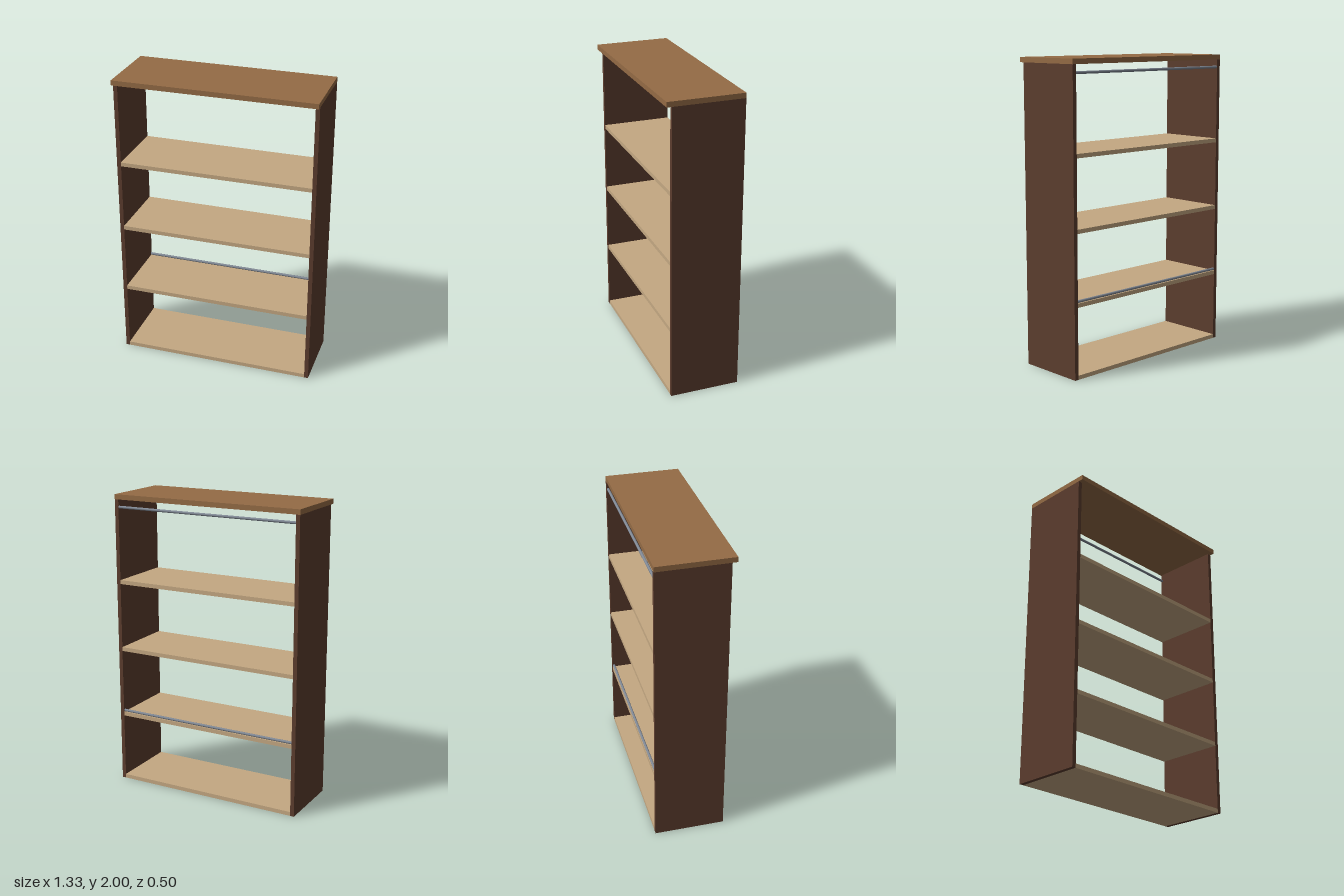
import * as THREE from 'three';

const material = (color) => new THREE.MeshStandardMaterial({ color });

export function createModel() {
  const group = new THREE.Group();
  const darkWood = material(0x5c3d2e);
  const topWood = material(0x946b45);
  const shelfWood = material(0xc4a882);
  const metal = material(0x808894);

  const W = 1.333, T = 0.027, BACK = -0.25, FRONT = 0.217, TOP = 1.967;
  const depth = FRONT - BACK, midZ = (FRONT + BACK) / 2, innerW = W - 2 * T;

  function add(name, geometry, mat, x, y, z) {
    const mesh = new THREE.Mesh(geometry, mat);
    mesh.name = name;
    mesh.position.set(x, y, z);
    group.add(mesh);
    return mesh;
  }

  // Top board overhangs the front
  add('topBoard', new THREE.BoxGeometry(W, 2 - TOP, 0.5), topWood, 0, (2 + TOP) / 2, 0);

  // Side panels
  for (const [name, s] of [['leftSide', 1], ['rightSide', -1]]) {
    add(name, new THREE.BoxGeometry(T, TOP, depth), darkWood, s * (W - T) / 2, TOP / 2, midZ);
  }

  // Evenly spaced shelves, the lowest on the ground
  for (let i = 0; i < 4; i++) {
    add('shelf' + (i + 1), new THREE.BoxGeometry(innerW, T, depth), shelfWood, 0, T / 2 + i * 0.467, midZ);
  }

  // Slim metal rods along the open back
  for (const [name, y] of [['lowerRod', 0.504], ['upperRod', 1.916]]) {
    add(name, new THREE.CylinderGeometry(0.009, 0.009, innerW, 12), metal, 0, y, BACK + 0.01).rotation.z = Math.PI / 2;
  }

  return group;
}
